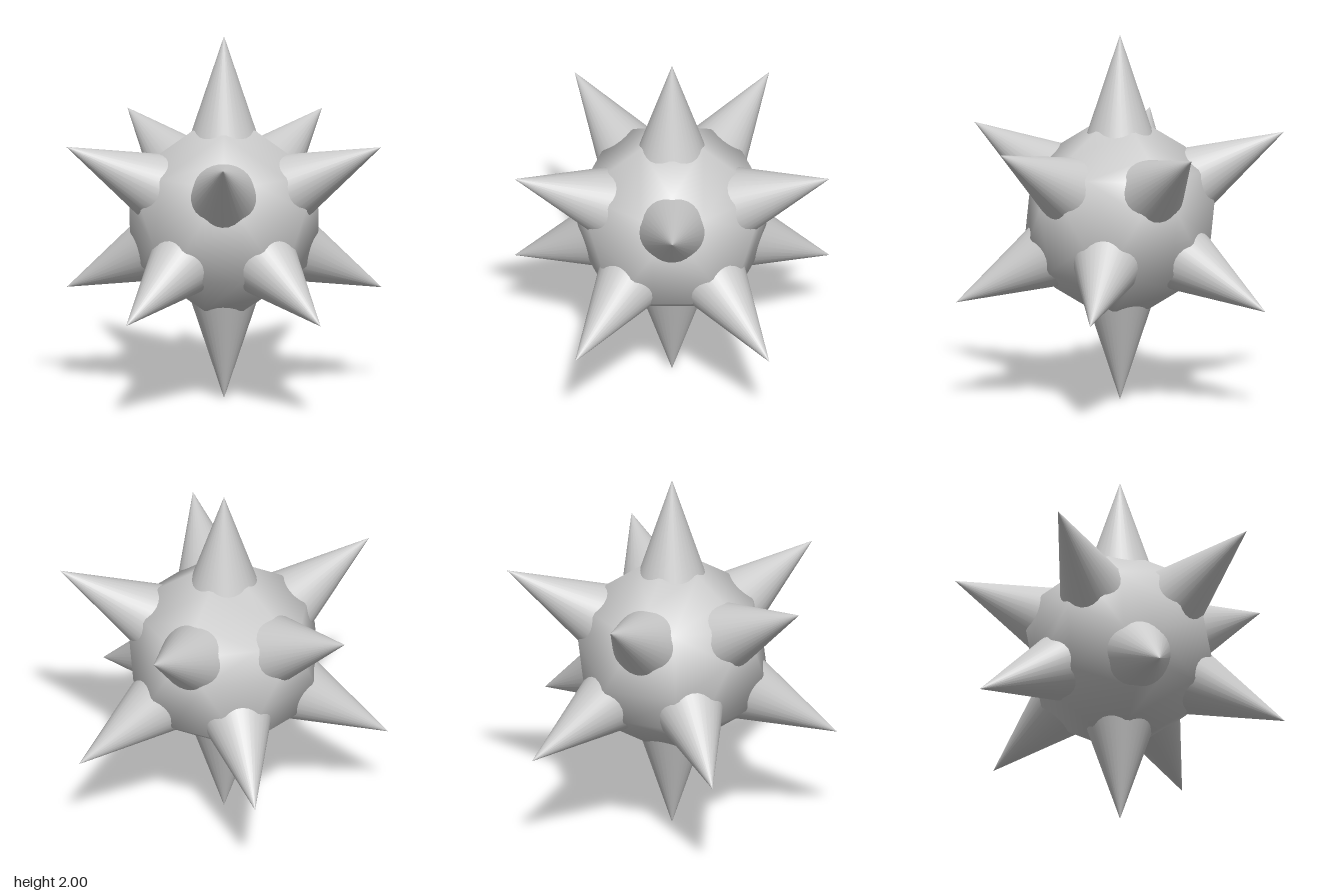
import * as THREE from 'three';
import { ConvexGeometry } from 'three/addons/geometries/ConvexGeometry.js';

const CORE_RADIUS = 0.52;
const TIP = 1;          // distance of each spike tip from the centre
const BASE = 0.4;       // spike base, sunk inside the core
const SLOPE = 0.332;    // spike radius per unit length

// The twelve icosahedron directions: two poles and two staggered rings of five
function spikeDirections() {
  const dirs = [new THREE.Vector3(0, 1, 0), new THREE.Vector3(0, -1, 0)];
  const y = 1 / Math.sqrt(5), r = 2 / Math.sqrt(5);
  for (let i = 0; i < 5; i++) {
    const a = (i * Math.PI * 2) / 5;
    dirs.push(new THREE.Vector3(r * Math.cos(a), y, r * Math.sin(a)));
    dirs.push(new THREE.Vector3(-r * Math.cos(a), -y, -r * Math.sin(a)));
  }
  return dirs;
}

// Truncated icosahedron: a corner one third along every edge, shaded smooth
function coreGeometry(dirs) {
  const corners = [];
  for (const a of dirs) {
    for (const b of dirs) {
      if (a !== b && a.dot(b) > 0.4) {
        corners.push(a.clone().multiplyScalar(2).add(b).setLength(CORE_RADIUS));
      }
    }
  }
  const geo = new ConvexGeometry(corners);
  const pos = geo.attributes.position, normal = geo.attributes.normal;
  const v = new THREE.Vector3();
  for (let i = 0; i < pos.count; i++) {
    v.fromBufferAttribute(pos, i).normalize();
    normal.setXYZ(i, v.x, v.y, v.z);
  }
  return geo;
}

export function createModel() {
  const model = new THREE.Group();
  model.name = 'spikedBall';
  const material = new THREE.MeshStandardMaterial({ color: 0xcccccc });
  const dirs = spikeDirections();

  const core = new THREE.Mesh(coreGeometry(dirs), material);
  core.name = 'core';
  core.position.y = 1;
  model.add(core);

  // One spike on every pentagon, pointing straight outwards
  const height = TIP - BASE;
  const spikeGeo = new THREE.ConeGeometry(height * SLOPE, height, 32);
  spikeGeo.translate(0, BASE + height / 2, 0);
  const up = new THREE.Vector3(0, 1, 0);
  dirs.forEach((dir, i) => {
    const spike = new THREE.Mesh(spikeGeo, material);
    spike.name = `spike${i + 1}`;
    spike.quaternion.setFromUnitVectors(up, dir);
    spike.position.y = 1;
    model.add(spike);
  });
  return model;
}
